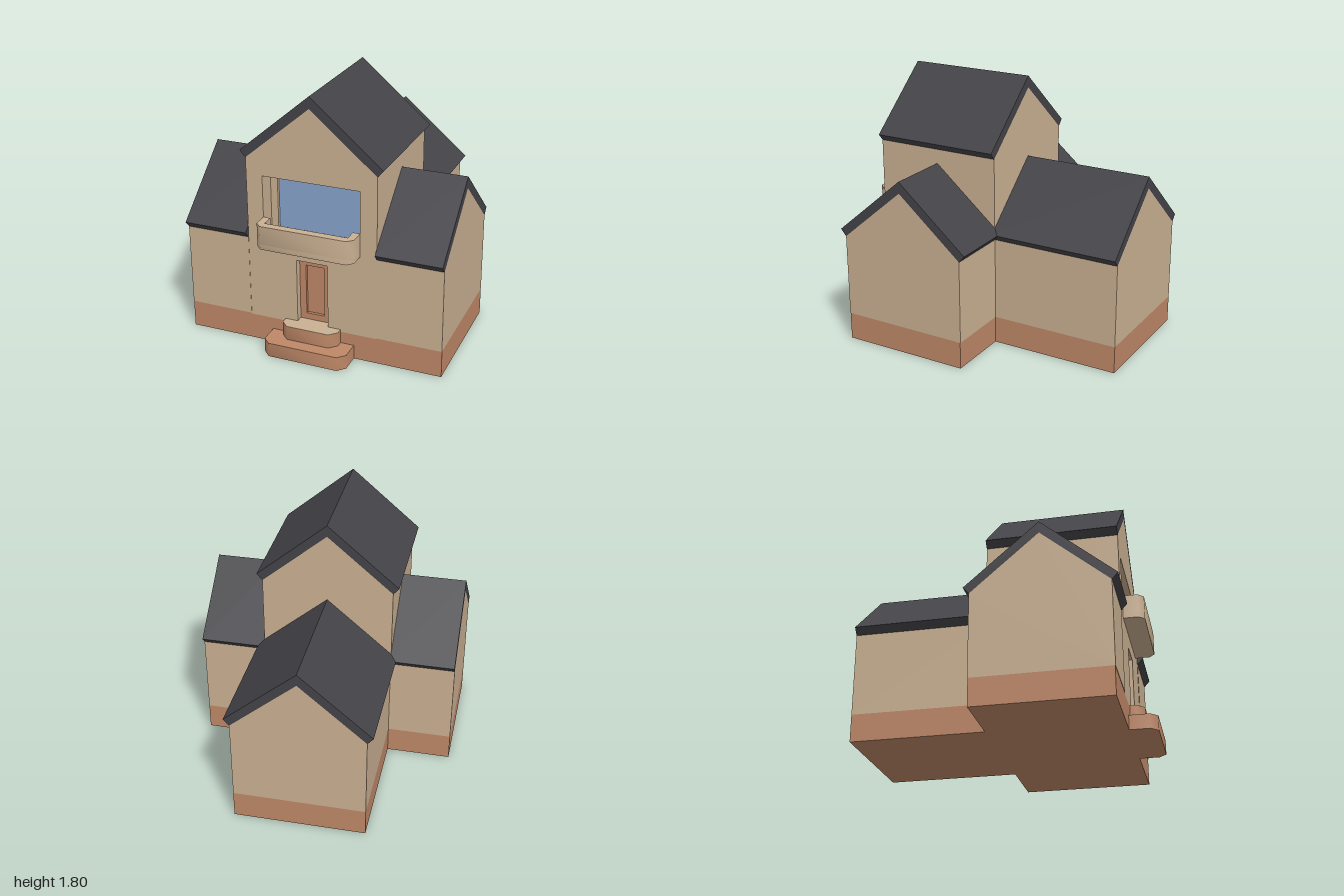
import * as THREE from 'three';
import { toCreasedNormals } from 'three/addons/utils/BufferGeometryUtils.js';

const material = (name, color) => {
  const m = new THREE.MeshStandardMaterial({ color });
  m.name = name;
  return m;
};

const outline = (points) => new THREE.Shape(points.map(([x, y]) => new THREE.Vector2(x, y)));
const rect = (x, y0, y1) => outline([[-x, y0], [x, y0], [x, y1], [-x, y1]]);
const extrude = (shape, depth) => new THREE.ExtrudeGeometry(shape, { depth, bevelEnabled: false });

// House end wall: pentagon from y = bottom up to eaves and ridge
const gable = (bottom, eaves) => outline([
  [-0.455, bottom], [0.455, bottom], [0.455, eaves], [0, eaves + 0.387], [-0.455, eaves],
]);

// Roof cross-section: folded slab with ends cut square to the slope
const chevron = (eaves) => outline([
  [-0.455, eaves], [0, eaves + 0.387], [0.455, eaves],
  [0.495, eaves + 0.046], [0, eaves + 0.468], [-0.495, eaves + 0.046],
]);

// Plan outline against the wall with clipped front corners
const WALL_Z = 0.815;
const clipped = (x, z, c) => [[x, WALL_Z], [x, z - c], [x - c, z], [-x + c, z], [-x, z - c], [-x, WALL_Z]];

export function createModel() {
  const house = new THREE.Group();
  house.name = 'house';
  const wall = material('sand wall', 0xcab092);
  const brick = material('terracotta', 0xbe8867);
  const slate = material('dark slate', 0x444348);
  const glass = material('blue glass', 0x88a3cc);

  const add = (name, geometry, mat, x = 0, y = 0, z = 0) => {
    const mesh = new THREE.Mesh(geometry, mat);
    mesh.name = name;
    mesh.position.set(x, y, z);
    house.add(mesh);
    return mesh;
  };
  const box = (name, mat, x, y0, y1, z0, z1, w) =>
    add(name, new THREE.BoxGeometry(w, y1 - y0, z1 - z0), mat, x, (y0 + y1) / 2, (z0 + z1) / 2);
  // Horizontal slab from a plan outline, softly shaded around clipped corners
  const slab = (name, points, y0, y1, mat) => {
    const g = toCreasedNormals(extrude(outline(points), y1 - y0).rotateX(Math.PI / 2), 0.9);
    return add(name, g, mat, 0, y1, 0);
  };

  // Plinth
  box('centrePlinth', brick, 0, 0, 0.183, -0.09, WALL_Z, 0.91);
  box('rearPlinth', brick, 0, 0, 0.19, -1, -0.09, 0.91);

  // Side wings with roofs, ridge running along x
  for (const [side, x] of [['left', 0.455], ['right', -0.905]]) {
    box(side + 'Plinth', brick, x + 0.225, 0, 0.19, -0.09, WALL_Z, 0.45);
    add(side + 'WingWalls', extrude(gable(0.19, 0.766), 0.45).rotateY(Math.PI / 2), wall, x, 0, 0.3625);
    add(side + 'WingRoof', extrude(chevron(0.766), 0.45).rotateY(Math.PI / 2), slate, x, 0, 0.3625);
  }

  // Rear wing
  add('rearWingWalls', extrude(gable(0.19, 0.766), 0.91), wall, 0, 0, -1);
  add('rearWingRoof', extrude(chevron(0.766), 0.91), slate, 0, 0, -1);

  // Tall centre: solid body plus a front wall with door and window openings
  add('centreBody', extrude(gable(0.183, 1.333), 0.755), wall, 0, 0, -0.09);
  const front = gable(0.183, 1.333);
  front.holes.push(rect(0.11, 0.2, 0.655), rect(0.34, 0.8, 1.22));
  add('frontWall', extrude(front, 0.15), wall, 0, 0, 0.665);
  add('centreRoof', extrude(chevron(1.333), 0.905), slate, 0, 0, -0.09);

  // Recessed window with its frame
  const frame = rect(0.34, 0.8, 1.22);
  frame.holes.push(rect(0.29, 0.81, 1.17));
  add('windowFrame', extrude(frame, 0.025), wall, 0, 0, 0.67);
  box('windowGlass', glass, 0, 0.8, 1.18, 0.666, 0.672, 0.6);

  // Recessed door with a sunken panel
  const door = rect(0.11, 0.2, 0.655);
  door.holes.push(rect(0.065, 0.245, 0.605));
  add('doorFrame', extrude(door, 0.02), brick, 0, 0, 0.745);
  box('doorPanel', brick, 0, 0.2, 0.655, 0.7, 0.745, 0.22);

  // Balcony floor and parapet
  const edge = clipped(0.34, 0.955, 0.04);
  slab('balconyFloor', edge, 0.765, 0.8, wall);
  slab('balconyParapet', [...edge, [-0.29, WALL_Z], [-0.29, 0.9], [0.29, 0.9], [0.29, WALL_Z]], 0.8, 0.93, wall);

  // Two entrance steps, the upper one topped in the wall colour
  slab('lowerStep', clipped(0.295, 1, 0.05), 0, 0.1, brick);
  slab('upperStep', clipped(0.2, 0.91, 0.05), 0.1, 0.197, brick);
  slab('upperStepTread', clipped(0.2, 0.91, 0.05), 0.197, 0.2, wall);

  return house;
}
